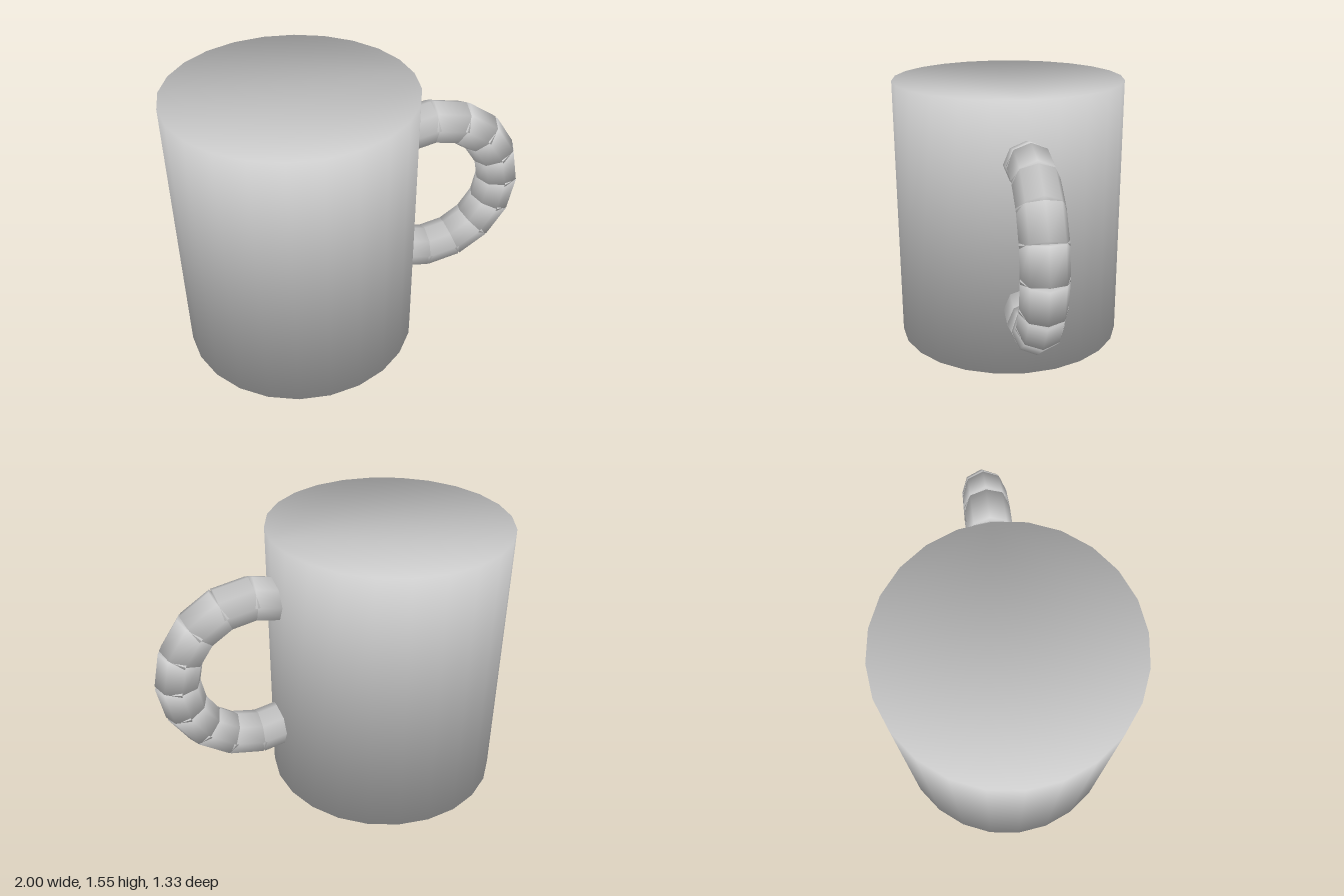
import * as THREE from 'three';

// Closed prism along y, with rim normals shared by wall and caps for a soft, rounded look
function softPrism(radius, height, sides) {
  const pos = [], nor = [], idx = [];
  // corner-angle weighted tilt between the wall and cap normals
  const tilt = Math.atan2(180 - 360 / sides, 180 * Math.cos(Math.PI / sides));
  for (const end of [-1, 1]) {
    for (let i = 0; i < sides; i++) {
      const t = (i / sides) * Math.PI * 2;
      pos.push(radius * Math.cos(t), (end * height) / 2, radius * Math.sin(t));
      nor.push(Math.cos(tilt) * Math.cos(t), end * Math.sin(tilt), Math.cos(tilt) * Math.sin(t));
    }
  }
  for (let i = 0; i < sides; i++) {
    const j = (i + 1) % sides;
    idx.push(i, i + sides, j, j, i + sides, j + sides);
    // caps as fans from the first rim corner
    if (i > 0 && j > 0) idx.push(0, i, j, sides, sides + j, sides + i);
  }
  const geo = new THREE.BufferGeometry();
  geo.setAttribute('position', new THREE.Float32BufferAttribute(pos, 3));
  geo.setAttribute('normal', new THREE.Float32BufferAttribute(nor, 3));
  geo.setIndex(idx);
  return geo;
}

export function createModel() {
  const model = new THREE.Group();
  model.name = 'mug';
  const ceramic = new THREE.MeshStandardMaterial({ color: 0xcccccc });
  ceramic.name = 'lightGrey';

  // Solid 24-sided body
  const body = new THREE.Mesh(softPrism(0.666, 1.55, 24), ceramic);
  body.name = 'body';
  body.position.set(-0.334, 0.775, 0);
  model.add(body);

  // Handle: short octagonal links around an arc, the end links sunk into the body
  const handle = new THREE.Group();
  handle.name = 'handle';
  handle.position.set(0.445, 0.808, 0);
  const link = softPrism(0.122, 0.195, 8);
  const step = Math.PI / 8, arcRadius = 0.425;
  for (let i = 0; i < 10; i++) {
    const a = (i - 4.5) * step;
    const mesh = new THREE.Mesh(link, ceramic);
    mesh.name = 'handleLink' + (i + 1);
    mesh.position.set(arcRadius * Math.cos(a), arcRadius * Math.sin(a), 0);
    mesh.rotation.z = a;
    handle.add(mesh);
  }
  model.add(handle);
  return model;
}
